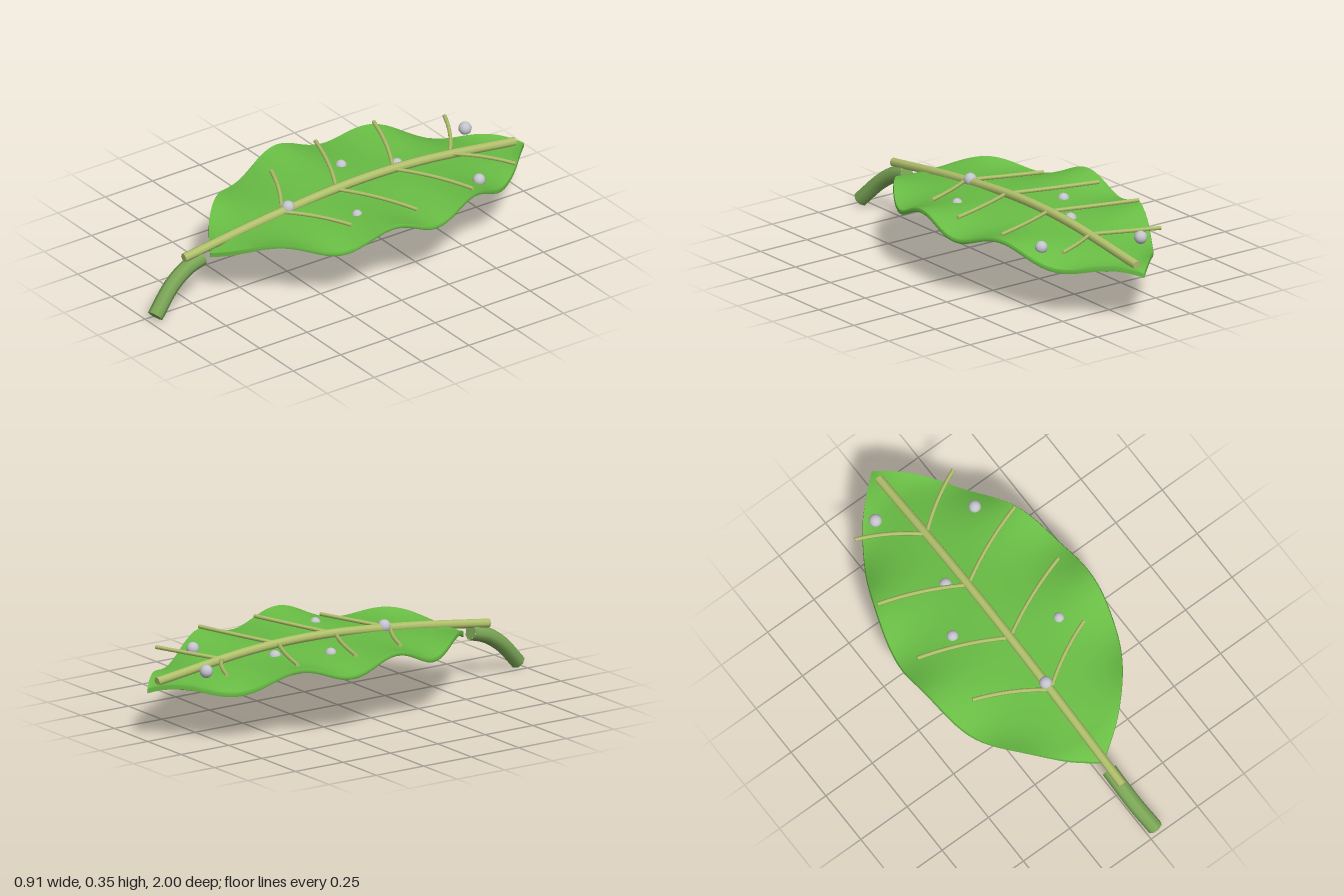
import * as THREE from 'three';

const mat = (name, color, side = THREE.FrontSide) => {
  const m = new THREE.MeshStandardMaterial({ color, side });
  m.name = name;
  return m;
};
const V = (x, y, z) => new THREE.Vector3(x, y, z);

export function createModel() {
  const group = new THREE.Group();
  const green = mat('leaf green', 0x69bd45, THREE.DoubleSide);
  const lime = mat('pale vein green', 0xb2c26c);
  const olive = mat('stem green', 0x7ba656);
  const silver = mat('dew silver', 0xc4c4cc);

  const add = (name, geometry, material) => {
    const mesh = new THREE.Mesh(geometry, material);
    mesh.name = name;
    group.add(mesh);
    return mesh;
  };

  // Round rod along a curve, closed with a flat disc at each end
  const rod = (name, curve, radius, material, segments, sides = 8) => {
    add(name, new THREE.TubeGeometry(curve, segments, radius, sides), material);
    for (const t of [0, 1]) {
      const out = curve.getTangent(t).multiplyScalar(t ? 1 : -1);
      const cap = add(name + 'End', new THREE.CircleGeometry(radius, sides), material);
      cap.position.copy(curve.getPoint(t));
      cap.quaternion.setFromUnitVectors(V(0, 0, 1), out);
    }
  };

  // Blade: thin slab fitted to the outline, arched along its length, with wavy edges
  const outline = new THREE.SplineCurve([
    [0.002, -1], [0.1, -0.91], [0.2, -0.8], [0.325, -0.6], [0.405, -0.4], [0.445, -0.22],
    [0.45, -0.08], [0.43, 0.1], [0.375, 0.27], [0.28, 0.42], [0.15, 0.555], [0.002, 0.655],
  ].map(([x, z]) => new THREE.Vector2(x, z)));
  const blade = new THREE.BoxGeometry(2, 1, 1, 24, 2, 72);
  const p = blade.attributes.position;
  for (let i = 0; i < p.count; i++) {
    const u = p.getX(i), s = p.getY(i);
    const { x: half, y: z } = outline.getPoint(p.getZ(i) + 0.5);
    const edge = 1 - (1 - u * u) * Math.min(1, half / 0.2);
    const arch = 0.303 - 0.12 * (z + 0.1) ** 2;
    const wave = 0.033 * edge * Math.cos((2 * Math.PI * z) / 0.47);
    const bulge = 1 + 0.012 * (1 - 4 * s * s);
    p.setXYZ(i, u * half * bulge, arch + wave + s * 0.02, z);
  }
  blade.computeVertexNormals();
  add('blade', blade, green);

  // Midrib
  const ribCurve = new THREE.CatmullRomCurve3([
    V(0, 0.238, 0.795), V(0, 0.295, 0.35), V(0, 0.33, -0.1), V(0, 0.322, -0.45), V(0, 0.262, -0.95),
  ]);
  rod('midrib', ribCurve, 0.02, lime, 32);

  // Paired side veins: start z, start height, reach
  for (const [z, y, reach] of [
    [0.28, 0.302, 0.3], [-0.01, 0.322, 0.38], [-0.31, 0.327, 0.37], [-0.61, 0.308, 0.265],
  ]) {
    for (const side of [-1, 1]) {
      const curve = new THREE.QuadraticBezierCurve3(
        V(0, y, z), V(side * reach * 0.45, y + 0.016, z - 0.1), V(side * reach, y + 0.018, z - 0.16));
      rod('sideVein', curve, 0.009, lime, 10, 6);
    }
  }

  // Curved stem
  rod('stem', new THREE.CatmullRomCurve3([
    V(0, 0.212, 0.7), V(0.002, 0.187, 0.78), V(0.013, 0.13, 0.87), V(0.04, 0.028, 0.975),
  ]), 0.035, olive, 16);

  // Dew drops
  for (const [x, y, z, r] of [
    [0, 0.315, 0.245, 0.029], [-0.14, 0.315, -0.79, 0.029], [0.245, 0.295, -0.59, 0.028],
    [-0.07, 0.297, -0.38, 0.028], [-0.19, 0.304, -0.17, 0.026], [0.225, 0.311, 0.04, 0.024],
  ]) {
    add('dewDrop', new THREE.SphereGeometry(r, 12, 10), silver).position.set(x, y, z);
  }

  return group;
}
